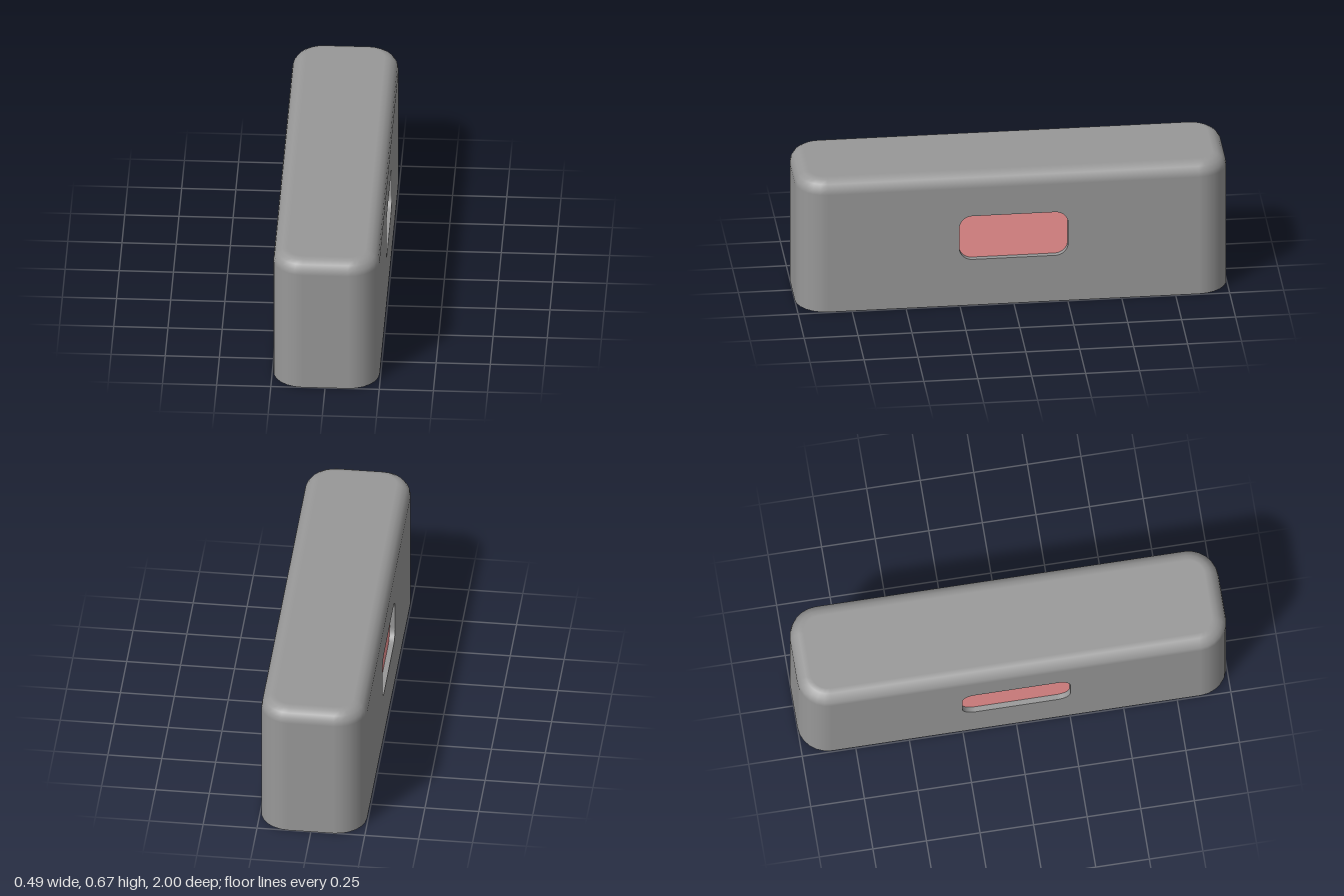
import * as THREE from 'three';

const HALF_W = 0.245, HALF_L = 1, HEIGHT = 0.667;
const CORNER = 0.14, FILLET = 0.065;
const POCKET = { halfL: 0.252, y0: 0.235, y1: 0.458, r: 0.06, depth: 0.025 };

// Rounded rectangle path, counter-clockwise
function roundedRect(path, x0, y0, x1, y1, r) {
  path.absarc(x1 - r, y0 + r, r, -Math.PI / 2, 0);
  path.absarc(x1 - r, y1 - r, r, 0, Math.PI / 2);
  path.absarc(x0 + r, y1 - r, r, Math.PI / 2, Math.PI);
  path.absarc(x0 + r, y0 + r, r, Math.PI, Math.PI * 1.5);
  path.closePath();
  return path;
}

// Open-bottomed shell: stacked rounded-rectangle rings with a filleted top;
// the two flat long sides are left out for the panels
function shellGeometry() {
  const seg = 6, steps = 4, n = 4 * (seg + 1);
  const rows = [{ y: 0, t: 0 }];
  for (let j = 0; j <= steps; j++) {
    const t = (j / steps) * Math.PI / 2;
    rows.push({ y: HEIGHT - FILLET + FILLET * Math.sin(t), t });
  }
  const pos = [], nor = [], idx = [];
  for (const { y, t } of rows) {
    const r = CORNER - FILLET * (1 - Math.cos(t));
    for (let c = 0; c < 4; c++) {
      const cx = (c === 0 || c === 3 ? 1 : -1) * (HALF_W - CORNER);
      const cz = (c < 2 ? 1 : -1) * (HALF_L - CORNER);
      for (let s = 0; s <= seg; s++) {
        const a = (c + s / seg) * Math.PI / 2;
        const dx = Math.cos(a), dz = Math.sin(a);
        pos.push(cx + r * dx, y, cz + r * dz);
        nor.push(dx * Math.cos(t), Math.sin(t), dz * Math.cos(t));
      }
    }
  }
  for (let j = 0; j < rows.length - 1; j++) {
    for (let i = 0; i < n; i++) {
      const longSide = i === 2 * seg + 1 || i === n - 1;
      if (j === 0 && longSide) continue;
      const a = j * n + i, b = j * n + (i + 1) % n;
      idx.push(a, a + n, b, b, a + n, b + n);
    }
  }
  // flat top
  const top = (rows.length - 1) * n, centre = rows.length * n;
  pos.push(0, HEIGHT, 0);
  nor.push(0, 1, 0);
  for (let i = 0; i < n; i++) idx.push(top + i, centre, top + (i + 1) % n);

  const g = new THREE.BufferGeometry();
  g.setAttribute('position', new THREE.Float32BufferAttribute(pos, 3));
  g.setAttribute('normal', new THREE.Float32BufferAttribute(nor, 3));
  g.setIndex(idx);
  return g;
}

// Strip that runs inward from the pocket's edge
function rimGeometry(points, depth) {
  const pos = [], idx = [], n = points.length;
  for (const p of points) pos.push(p.x, p.y, 0, p.x, p.y, -depth);
  for (let i = 0; i < n; i++) {
    const a = 2 * i, b = 2 * ((i + 1) % n);
    idx.push(a, b, a + 1, b, b + 1, a + 1);
  }
  const g = new THREE.BufferGeometry();
  g.setAttribute('position', new THREE.Float32BufferAttribute(pos, 3));
  g.setIndex(idx);
  g.computeVertexNormals();
  return g;
}

export function createModel() {
  const model = new THREE.Group();
  model.name = 'cover';
  const grey = new THREE.MeshStandardMaterial({ color: 0x989898, side: THREE.DoubleSide });
  const pink = new THREE.MeshStandardMaterial({ color: 0xf49595, side: THREE.DoubleSide });

  const add = (parent, name, geometry, material) => {
    const mesh = new THREE.Mesh(geometry, material);
    mesh.name = name;
    parent.add(mesh);
    return mesh;
  };

  add(model, 'shell', shellGeometry(), grey);

  // Long sides, each with a recessed coloured pocket
  const { halfL, y0, y1, r, depth } = POCKET;
  const flat = HALF_L - CORNER, wallTop = HEIGHT - FILLET;
  for (const side of [1, -1]) {
    const group = new THREE.Group();
    group.name = side > 0 ? 'leftSide' : 'rightSide';
    group.position.x = side * HALF_W;
    group.rotation.y = side * Math.PI / 2;

    const panel = new THREE.Shape();
    panel.moveTo(-flat, 0).lineTo(flat, 0).lineTo(flat, wallTop).lineTo(-flat, wallTop).closePath();
    panel.holes.push(roundedRect(new THREE.Path(), -halfL, y0, halfL, y1, r));
    add(group, 'sidePanel', new THREE.ShapeGeometry(panel, 8), grey);

    const outline = roundedRect(new THREE.Shape(), -halfL, y0, halfL, y1, r);
    const points = outline.getPoints(8);
    points.pop();
    add(group, 'pocketRim', rimGeometry(points, depth), grey);
    add(group, 'pocketBack', new THREE.ShapeGeometry(outline, 8), pink).position.z = -depth;
    model.add(group);
  }
  return model;
}
